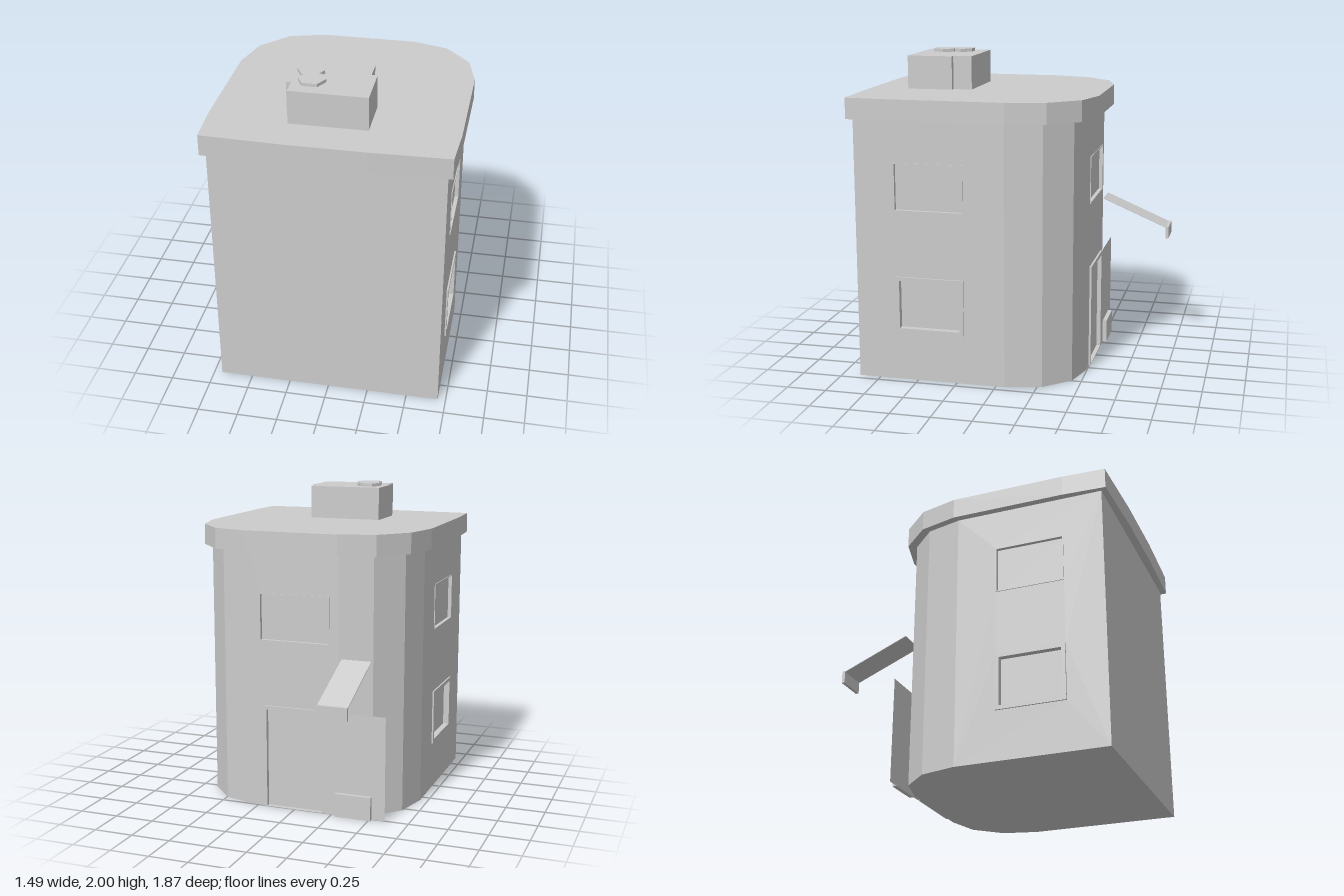
import * as THREE from 'three';

const plaster = new THREE.MeshStandardMaterial({ color: 0xcccccc, side: THREE.DoubleSide });
plaster.name = 'plaster grey';

function mesh(name, geometry, parent) {
  const m = new THREE.Mesh(geometry, plaster);
  m.name = name;
  parent.add(m);
  return m;
}

function box(name, parent, [x0, x1], [y0, y1], [z0, z1]) {
  const m = mesh(name, new THREE.BoxGeometry(x1 - x0, y1 - y0, z1 - z0), parent);
  m.position.set((x0 + x1) / 2, (y0 + y1) / 2, (z0 + z1) / 2);
  return m;
}

// Rectangle as a closed list of points
const rect = (u0, v0, u1, v1) =>
  [[u0, v0], [u1, v0], [u1, v1], [u0, v1]].map(p => new THREE.Vector2(...p));

// Raises a plan outline of [x, z] points into a slab from y0 to y1
function slab(name, parent, plan, y0, y1) {
  const shape = new THREE.Shape(plan.map(([x, z]) => new THREE.Vector2(x, -z)));
  const g = new THREE.ExtrudeGeometry(shape, { depth: y1 - y0, bevelEnabled: false });
  g.rotateX(-Math.PI / 2).translate(0, y0, 0);
  return mesh(name, g, parent);
}

// Completes a half plan by mirroring it across x = 0
const mirrored = half => [...half, ...half.map(([x, z]) => [-x, z]).reverse()];

// Recessed opening with a raised surround, in wall coordinates
function opening(parent, o) {
  const shape = new THREE.Shape(rect(o.u0, o.v0, o.u1, o.v1));
  const sill = o.sill ?? o.border;
  shape.holes.push(new THREE.Path(
    rect(o.u0 + o.border, o.v0 + sill, o.u1 - o.border, o.v1 - o.border)));
  const g = new THREE.ExtrudeGeometry(shape, { depth: o.recess + o.raise, bevelEnabled: false });
  g.translate(0, 0, -o.recess);
  mesh(o.name + 'Frame', g, parent);
  const pane = mesh(o.name + 'Pane', new THREE.PlaneGeometry(o.u1 - o.u0, o.v1 - o.v0), parent);
  pane.position.set((o.u0 + o.u1) / 2, (o.v0 + o.v1) / 2, -o.recess + 0.001);
}

// One flat wall between two plan points, with its openings cut out
function wall(parent, a, b, height, openings) {
  const dx = b[0] - a[0], dz = b[1] - a[1];
  const group = new THREE.Group();
  group.name = 'wall';
  group.position.set(a[0], 0, a[1]);
  group.rotation.y = Math.atan2(-dz, dx);
  const shape = new THREE.Shape(rect(0, 0, Math.hypot(dx, dz), height));
  for (const o of openings) {
    shape.holes.push(new THREE.Path(rect(o.u0, o.v0, o.u1, o.v1)));
    opening(group, o);
  }
  mesh('wallFace', new THREE.ShapeGeometry(shape), group);
  parent.add(group);
}

export function createModel() {
  const model = new THREE.Group();
  model.name = 'building';
  const eaves = 1.64;

  // Walls, rounded at the back
  const plan = mirrored([[0.7, 0.885], [0.7, -0.055], [0.645, -0.28], [0.495, -0.44], [0.29, -0.495]]);
  const upper = { name: 'upperWindow', v0: 1.08, v1: 1.38, border: 0.006, recess: 0.02, raise: 0.005 };
  const lower = { name: 'lowerWindow', v0: 0.31, v1: 0.665, border: 0.025, recess: 0.03, raise: 0.01 };
  const door = { name: 'door', v0: 0.001, v1: 0.665, border: 0.025, sill: 0.003, recess: 0.015, raise: 0.013 };
  const side = u0 => [upper, lower].map(w => ({ ...w, u0, u1: u0 + 0.435 }));
  const openings = {
    0: side(0.25),
    4: [{ ...upper, u0: 0.06, u1: 0.52 }, { ...door, u0: 0.08, u1: 0.5 }],
    8: side(0.255),
  };
  plan.forEach((p, i) => wall(model, p, plan[(i + 1) % plan.length], eaves, openings[i] ?? []));

  // Floor
  const floor = new THREE.ShapeGeometry(new THREE.Shape(plan.map(p => new THREE.Vector2(...p))));
  mesh('floor', floor.rotateX(Math.PI / 2), model);

  // Overhanging roof
  slab('roof', model, mirrored([[0.25, 0.935], [0.73, 0.92], [0.745, 0.65], [0.745, -0.07],
    [0.685, -0.31], [0.525, -0.49], [0.3, -0.555]]), eaves, 1.77);

  // Rooftop unit with its vent cap
  slab('rooftopUnit', model, [[-0.29, 0.28], [0.18, 0.28], [0.18, 0.4], [0.215, 0.4],
    [0.215, 0.69], [-0.26, 0.69], [-0.26, 0.58], [-0.29, 0.58]], 1.77, 1.98);
  slab('ventCap', model, [[-0.255, 0.43], [-0.215, 0.365], [-0.135, 0.365], [-0.09, 0.43],
    [-0.115, 0.475], [-0.1, 0.475], [-0.06, 0.54], [-0.1, 0.615], [-0.19, 0.615],
    [-0.225, 0.55], [-0.205, 0.505], [-0.215, 0.5]], 1.98, 2);

  // Flat panel beside the door, with a low box against it
  const panel = mesh('sidePanel', new THREE.PlaneGeometry(0.39, 0.665), model);
  panel.rotation.y = Math.PI;
  panel.position.set(-0.405, 0.3325, -0.508);
  box('lowBox', model, [-0.515, -0.28], [0, 0.15], [-0.535, -0.508]);

  // Sloping awning with a hanging lip
  const drop = 0.18, reach = 0.425;
  const awning = mesh('awning', new THREE.BoxGeometry(0.19, 0.004, Math.hypot(drop, reach)), model);
  awning.rotation.x = -Math.atan2(drop, reach);
  awning.position.set(-0.405, 0.91, -0.7075);
  box('awningLip', model, [-0.5, -0.31], [0.745, 0.825], [-0.937, -0.917]);

  return model;
}
